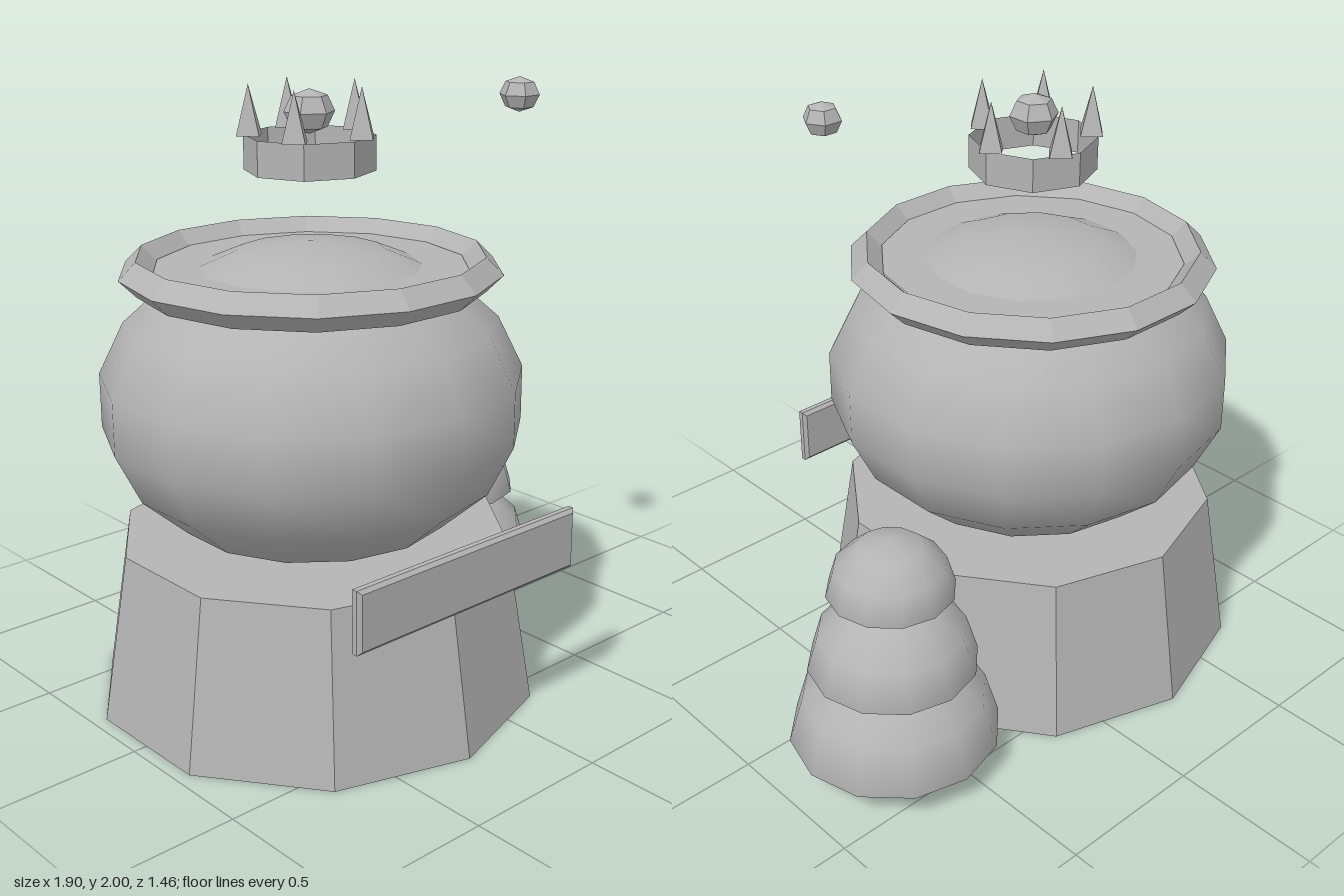
import * as THREE from 'three';

export function createModel() {
  const model = new THREE.Group();
  const grey = new THREE.MeshStandardMaterial({ color: 0xb4b4b4 });
  grey.name = 'grey';
  const facetGrey = grey.clone();
  facetGrey.flatShading = true;
  facetGrey.side = THREE.DoubleSide;
  const openGrey = grey.clone();
  openGrey.side = THREE.DoubleSide;

  const add = (name, geometry, material, x, y, z, parent = model) => {
    const mesh = new THREE.Mesh(geometry, material);
    mesh.name = name;
    mesh.position.set(x, y, z);
    parent.add(mesh);
    return mesh;
  };
  const cx = -0.26; // axis of the pot

  // Ten-sided plinth
  add('base', new THREE.CylinderGeometry(0.64, 0.73, 0.55, 10), facetGrey, cx, 0.275, 0);

  // Squashed round pot
  const pot = add('pot', new THREE.SphereGeometry(0.687, 14, 9), grey, cx, 1, 0);
  pot.scale.y = 0.742;
  pot.rotation.y = Math.PI / 2;

  // Diamond-section rim and the flat surface inside it
  add('rim', new THREE.TorusGeometry(0.55, 0.055, 4, 14).rotateX(Math.PI / 2), facetGrey, cx, 1.42, 0);
  add('liquid', new THREE.CircleGeometry(0.5, 14).rotateX(-Math.PI / 2), openGrey, cx, 1.43, 0);

  // Floating crown: open band, five spikes and a gem
  const crown = new THREE.Group();
  crown.name = 'crown';
  crown.position.set(cx, 0, 0);
  model.add(crown);
  add('crownBand', new THREE.CylinderGeometry(0.205, 0.205, 0.11, 8, 1, true), facetGrey, 0, 1.785, 0, crown);
  for (let i = 0; i < 5; i++) {
    const a = (i / 5) * Math.PI * 2;
    add('crownSpike', new THREE.ConeGeometry(0.05, 0.155, 4), facetGrey,
      Math.cos(a) * 0.185, 1.918, Math.sin(a) * 0.185, crown);
  }
  const gem = (name, r, x, y, z, parent) => {
    const mesh = add(name, new THREE.SphereGeometry(r, 6, 4), facetGrey, x, y, z, parent);
    mesh.scale.y = 0.86;
    return mesh;
  };
  gem('crownGem', 0.08, 0, 1.91, 0, crown).rotation.y = Math.PI / 2;
  gem('floatingGem', 0.064, 0.31, 1.945, 0.34, model);

  // Sign board with bevelled edges
  const w = 0.443, h = 0.088;
  const board = new THREE.Shape([[-w, -h], [w, -h], [w, h], [-w, h]].map(p => new THREE.Vector2(...p)));
  add('signBoard', new THREE.ExtrudeGeometry(board, {
    depth: 0.018, bevelThickness: 0.011, bevelSize: 0.012, bevelSegments: 1,
  }), facetGrey, cx, 0.604, 0.701);

  // Bush of three stacked hollow domes
  for (const [r, y] of [[0.345, 0.115], [0.275, 0.39], [0.205, 0.665]]) {
    const dome = add('bushTier', new THREE.SphereGeometry(r, 12, 3, 0, Math.PI * 2, 0, Math.PI / 2),
      openGrey, 0.605, y, -0.28);
    dome.scale.y = 0.9;
  }
  return model;
}
